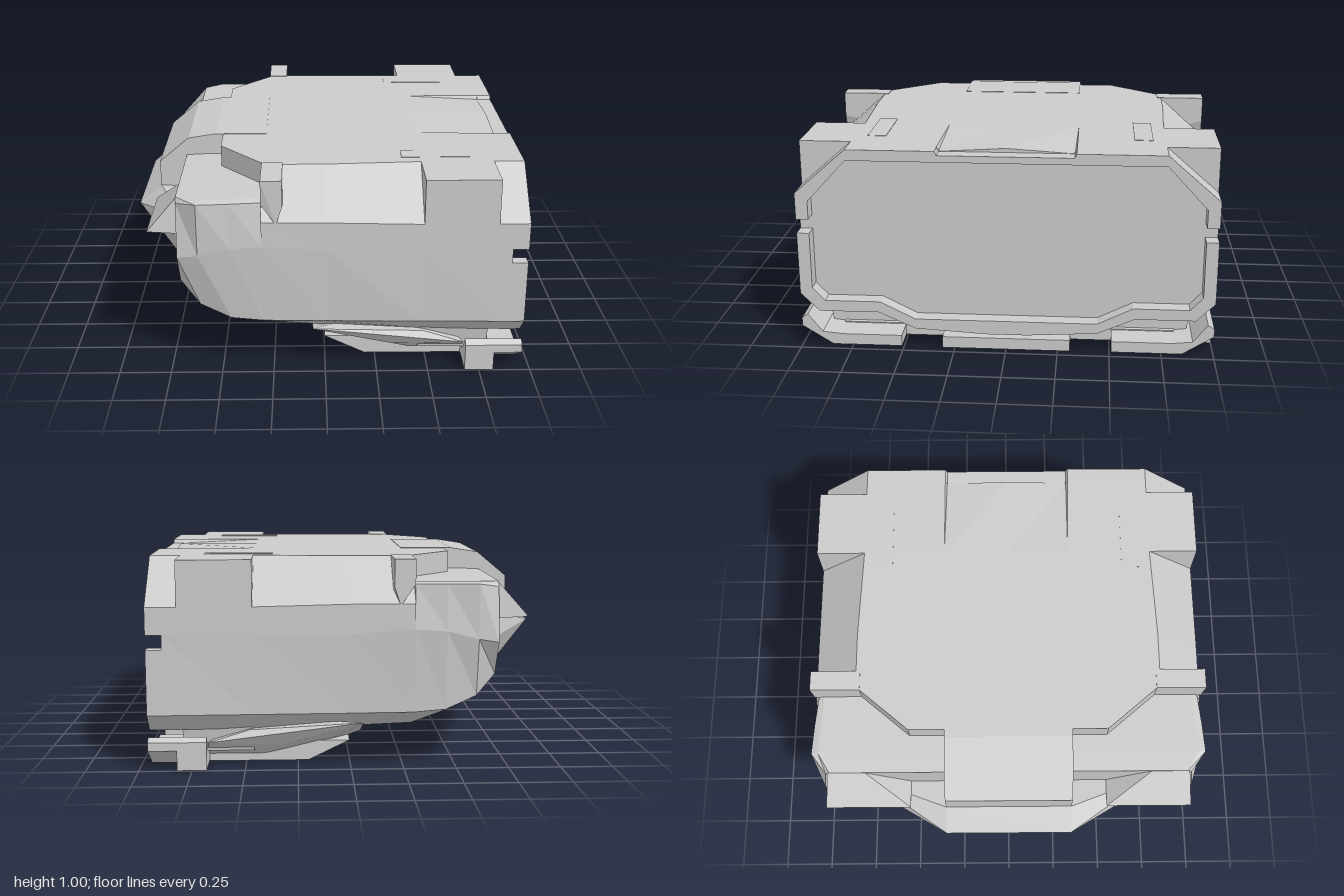
import * as THREE from 'three';
import { ConvexGeometry } from 'three/addons/geometries/ConvexGeometry.js';

const material = new THREE.MeshStandardMaterial({ color: 0xcccccc, flatShading: true, side: THREE.DoubleSide });

export function createModel() {
  const model = new THREE.Group();
  const add = (name, geometry) => {
    const mesh = new THREE.Mesh(geometry, material);
    mesh.name = name;
    model.add(mesh);
    return mesh;
  };
  const extrude = (points, depth) => new THREE.ExtrudeGeometry(
    new THREE.Shape(points.map(p => new THREE.Vector2(...p))), { depth, bevelEnabled: false });
  // Prism along x from a [z, y] outline
  const prismX = (name, points, x0, x1) => add(name,
    extrude(points.map(([z, y]) => [-z, y]), x1 - x0).rotateY(Math.PI / 2).translate(x0, 0, 0));
  // Prism along z from an [x, y] outline
  const prismZ = (name, points, z0, z1) => add(name, extrude(points, z1 - z0).translate(0, 0, z0));
  const convex = (name, points) => add(name, new ConvexGeometry(points.map(p => new THREE.Vector3(...p))));

  // Hull stations: x, top y, top half-width, side top [y,z], middle [y,z], low [y,z], belly [y,z], bottom y, groove
  const stations = [
    [-0.70, 0.885, 0.90, 0.86, 0.92, 0.60, 0.96, 0.43, 0.85, 0.40, 0.62, 0.39, 0],
    [-0.60, 0.89, 0.96, 0.88, 0.995, 0.62, 0.99, 0.34, 0.93, 0.31, 0.70, 0.30, 0],
    [-0.45, 0.89, 0.95, 0.88, 0.985, 0.66, 1.00, 0.28, 0.96, 0.22, 0.75, 0.20, 0],
    [-0.30, 0.89, 0.94, 0.88, 0.97, 0.67, 1.00, 0.27, 0.97, 0.18, 0.80, 0.14, 0],
    [-0.30, 0.995, 0.77, 0.79, 0.998, 0.67, 1.00, 0.27, 0.97, 0.18, 0.80, 0.14, 0],
    [0.00, 0.995, 0.77, 0.79, 1.00, 0.65, 1.00, 0.27, 0.98, 0.18, 0.85, 0.10, 0],
    [0.46, 0.998, 0.75, 0.78, 1.00, 0.65, 1.00, 0.27, 0.99, 0.18, 0.89, 0.08, 0],
    [0.88, 0.998, 0.75, 0.78, 1.00, 0.65, 1.00, 0.27, 1.00, 0.18, 0.91, 0.08, 0.02],
  ];
  const positions = [], index = [];
  const ringSize = 18;
  for (const [x, yt, zt, ys, zs, ym, zm, yl, zl, yb, zb, y0, groove] of stations) {
    const half = [[yt, 0], [yt - groove, 0.32], [yt, 0.33], [yt, zt], [ys, zs], [ym, zm],
      [yl, zl], [yb, zb], [Math.min(yb, y0 + 0.09), 0.62 * zb], [y0, 0]];
    const ring = [...half, ...half.slice(1, -1).reverse().map(([y, z]) => [y, -z])];
    ring.forEach(([y, z]) => positions.push(x, y, z));
  }
  for (let i = 0; i < stations.length - 1; i++) {
    for (let j = 0; j < ringSize; j++) {
      const a = i * ringSize + j, b = i * ringSize + (j + 1) % ringSize;
      index.push(a, b, b + ringSize, a, b + ringSize, a + ringSize);
    }
  }
  // Nose wall and recessed end panel
  [0, stations.length - 1].forEach(i => {
    const center = positions.length / 3;
    positions.push(stations[i][0], 0.6, 0);
    for (let j = 0; j < ringSize; j++) {
      const a = i * ringSize + j, b = i * ringSize + (j + 1) % ringSize;
      index.push(center, i ? a : b, i ? b : a);
    }
  });
  const hull = new THREE.BufferGeometry();
  hull.setAttribute('position', new THREE.Float32BufferAttribute(positions, 3));
  hull.setIndex(index);
  hull.computeVertexNormals();
  add('hull', hull);

  // Rim around the end panel, split by a notch on each side
  const frame = (name, outer, inner) => {
    const flip = pts => pts.map(([z, y]) => [-z, y]).reverse();
    const inside = [...inner, ...flip(inner)].reverse();
    prismX(name, [...outer, ...flip(outer), ...inside], 0.875, 0.955);
  };
  frame('upperRim', [[1, 0.65], [1, 0.78], [0.75, 0.998], [0.33, 0.998], [0.32, 0.978], [0, 0.998]].slice(0, 5),
    [[0.94, 0.65], [0.94, 0.74], [0.75, 0.945]]);
  frame('lowerRim', [[1, 0.58], [1, 0.27], [0.91, 0.18], [0.62, 0.18], [0.44, 0.1], [0.1, 0.08]],
    [[0.94, 0.58], [0.94, 0.3], [0.88, 0.235], [0.61, 0.235], [0.44, 0.15]]);

  // Raised roof step with an angled leading edge
  const roof = [[-0.51, 0.32], [-0.51, 0.5], [-0.3, 0.75], [-0.29, 0.75]];
  const roofOutline = [...roof, ...roof.map(([x, z]) => [x, -z]).reverse()];
  add('roofStep', extrude(roofOutline, 0.118).rotateX(-Math.PI / 2).translate(0, 0.877, 0));

  // Nose block with a sloped brow
  prismZ('noseBlock', [[-0.84, 0.6], [-0.84, 0.85], [-0.69, 0.975], [-0.55, 0.997],
    [-0.29, 0.997], [-0.29, 0.6]], -0.32, 0.32);

  // Pointed lip across the nose
  const lip = [];
  for (const s of [-1, 1]) {
    lip.push([-0.955, 0.62, 0.32 * s], [-0.84, 0.72, 0.32 * s], [-0.77, 0.47, 0.32 * s],
      [-0.69, 0.71, 0.72 * s], [-0.7, 0.58, 0.74 * s], [-0.68, 0.38, 0.6 * s]);
  }
  convex('noseLip', lip);

  for (const s of [-1, 1]) {
    // Shoulder blocks: a pointed front one and a square rear one
    convex('frontShoulder', [[-0.3, 0.998, 0.75 * s], [-0.2, 0.998, 0.75 * s], [-0.3, 0.998, s],
      [-0.2, 0.998, s], [-0.3, 0.88, 0.99 * s], [-0.2, 0.87, s], [-0.23, 0.78, s],
      [-0.3, 0.88, 0.75 * s], [-0.2, 0.8, 0.75 * s]]);
    prismX('rearShoulder', [[0.75 * s, 0.998], [s, 0.998], [s, 0.77], [0.75 * s, 0.77]], 0.46, 0.81);

    // Cheek fins at the nose corners
    convex('cheekFin', [[-0.84, 0.72, 0.93 * s], [-0.84, 0.72, 0.5 * s], [-0.7, 0.88, 0.91 * s],
      [-0.7, 0.88, 0.72 * s], [-0.69, 0.71, 0.93 * s], [-0.69, 0.71, 0.5 * s]]);

    // Low strakes
    convex('strake', [[-0.06, 0.22, 0.97 * s], [-0.06, 0.12, 0.7 * s], [0.33, 0.1, 0.9 * s],
      [0.45, 0.01, 0.78 * s], [0.2, 0.01, 0.65 * s], [0.68, 0.12, 0.93 * s], [0.68, 0.04, 0.82 * s],
      [0.48, 0.18, 0.92 * s], [0.5, 0.18, 0.6 * s]]);

    // Bilge filling between hull and skid
    prismX('bilge', [[0.44 * s, 0.09], [0.62 * s, 0.19], [0.9 * s, 0.19], [0.88 * s, 0.07],
      [0.8 * s, 0.05], [0.44 * s, 0.05]], 0.46, 0.8);

    // Corner feet: a full front part and an undercut rear part
    prismX('footFront', [[0.8 * s, 0.005], [s, 0.005], [s, 0.14], [0.97 * s, 0.16],
      [0.9 * s, 0.07], [0.8 * s, 0.06]], 0.68, 0.82);
    prismX('footRear', [[0.8 * s, 0.005], [0.85 * s, 0.005], [s, 0.1], [s, 0.14],
      [0.97 * s, 0.16], [0.9 * s, 0.07], [0.8 * s, 0.06]], 0.82, 0.955);

    // Belly skid edges
    prismZ('skidEdge', [[0.8, 0.005], [0.955, 0.005], [0.955, 0.06], [0.8, 0.06]],
      s > 0 ? 0.51 : -0.82, s > 0 ? 0.82 : -0.51);

    // Thin roof hatch strips
    add('roofStrip', new THREE.BoxGeometry(0.33, 0.006, 0.09)).position.set(0.535, 0.997, 0.645 * s);
  }

  // Belly skid
  prismZ('bellySkid', [[0, 0.1], [0.2, 0.003], [0.82, 0.003], [0.82, 0.065], [0.3, 0.1]], -0.82, 0.82);
  prismZ('skidCenter', [[0.8, 0.003], [0.955, 0.003], [0.955, 0.06], [0.8, 0.06]], -0.31, 0.31);

  return model;
}
